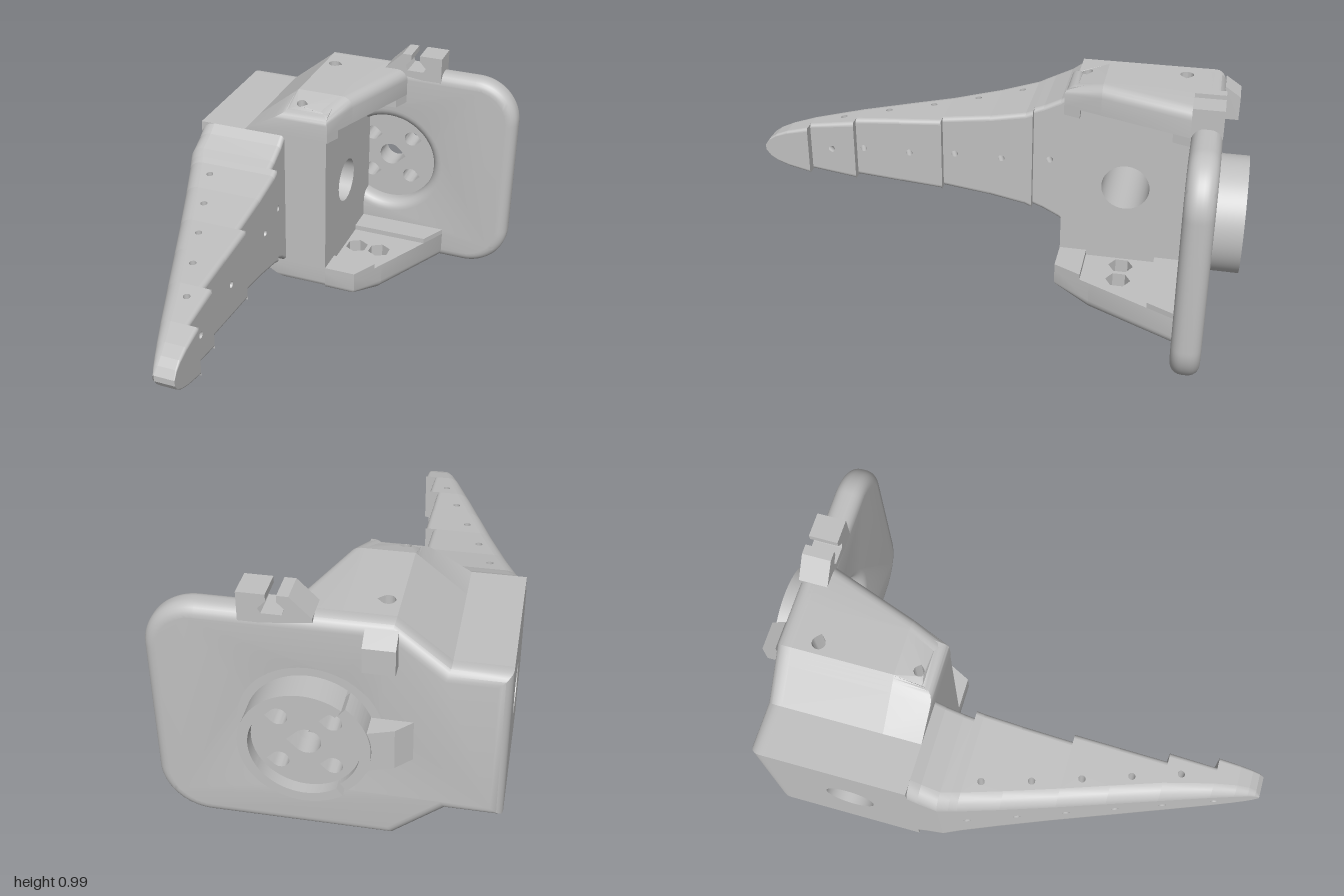
import * as THREE from 'three';
import { mergeGeometries, toCreasedNormals } from 'three/addons/utils/BufferGeometryUtils.js';
import { ConvexGeometry } from 'three/addons/geometries/ConvexGeometry.js';

const grey = new THREE.MeshStandardMaterial({ color: 0xc0c0c0, side: THREE.DoubleSide });
grey.name = 'printedGrey';

const YC = 0.46, BACK = -0.84, MID = -0.43, FRONT = -0.28, WALL = -0.055;
const lerp = THREE.MathUtils.lerp;
const shapeOf = (pts, holes = []) => {
  const s = new THREE.Shape(pts.map(p => new THREE.Vector2(...p)));
  s.holes = holes;
  return s;
};
const ringPts = (x, y, r, n, phase = 0) => Array.from({ length: n }, (_, i) => {
  const a = phase + i / n * Math.PI * 2;
  return new THREE.Vector2(x + r * Math.cos(a), y + r * Math.sin(a));
});
const circle = (x, y, r, n = 32) => new THREE.Path(ringPts(x, y, r, n));
// round hole with a pointed +x side
const teardrop = (x, y, r) => {
  const p = new THREE.Path().moveTo(x + r * 1.41, y);
  p.absarc(x, y, r, Math.PI / 4, Math.PI * 1.75, false);
  return p.lineTo(x + r * 1.41, y);
};
const extrude = (shape, depth, opts = {}) =>
  new THREE.ExtrudeGeometry(shape, { depth, bevelEnabled: false, curveSegments: 12, ...opts });
const hull = pts => new ConvexGeometry(pts.map(p => new THREE.Vector3(...p)));

function moveVertices(g, rule) {
  const p = g.attributes.position;
  for (let i = 0; i < p.count; i++) p.setXYZ(i, ...rule(p.getX(i), p.getY(i), p.getZ(i)));
  g.computeVertexNormals();
  return g;
}

// One slab of the upper or lower jaw: drawn in plan, grown outwards, with chamfer and fillet
function jawSlab(top, poly, holes, v0, endX) {
  const R = 0.045, STEPS = 6;
  const g = extrude(shapeOf(poly, holes), STEPS, { steps: STEPS });
  moveVertices(g, (x, z, t) => {
    const k = Math.round(t), a = Math.max(0, k - 1) / (STEPS - 1) * Math.PI / 2;
    let v = k === 0 ? v0 : 0.15 - R + R * Math.sin(a);
    const inset = k === 0 ? 0 : R * (1 - Math.cos(a));
    const f = Math.max(0, (z - MID) / (FRONT - MID));
    let nx = x, nz = z;
    if (Math.abs(x + 0.42) < 1e-3) nx += 0.185 * v / 0.15;
    if (endX && x > endX(z) - 1e-3) nx -= inset;
    if (Math.abs(z - FRONT) < 1e-3) nz -= inset;
    v = v0 + (v - v0) * (1 - 0.28 * f);
    return [nx, top ? 0.765 + v : 0.155 - v, nz];
  });
  return toCreasedNormals(g, 0.5);
}

// Jaw: chamfered cap on the block, a slanted arm and two rims beside its groove
function jaw(add, top) {
  const name = top ? 'upperJaw' : 'lowerJaw';
  const [xf, xb, groove, gf, gb, hx] = top
    ? [-0.05, 0.13, 0.035, -0.345, -0.71, -0.19] : [0.08, 0.33, 0.023, -0.39, -0.67, -0.11];
  const endX = z => z < -0.78 ? xb : lerp(xf, xb, (FRONT - z) / 0.5);
  const plan = (l, z0, z1) => [[l, z0], [endX(z0), z0],
    ...(z0 < -0.78 ? [[xb, -0.78]] : []), [endX(z1), z1], [l, z1]];
  const box = (z0, z1) => [[-0.42, z0], [WALL, z0], [WALL, z1], [-0.42, z1]];
  const armHoles = top ? [] : [
    ...[0.105, 0.0].map(x => new THREE.Path(ringPts(x, -0.54, 0.05, 6, Math.PI / 6))),
    circle(0.04, -0.72, 0.018, 16)];
  add(name + 'Cap', jawSlab(top, box(BACK, MID), [teardrop(hx, -0.735, 0.026)], 0));
  add(name + 'CapFront', jawSlab(top, box(MID, FRONT), [teardrop(hx, -0.35, 0.02)], 0));
  add(name + 'Arm', jawSlab(top, plan(WALL, BACK, MID), armHoles, groove, endX));
  add(name + 'ArmFront', jawSlab(top, plan(WALL, MID, FRONT), [], groove, endX));
  for (const [z0, z1] of [[gf, FRONT], [-0.78, gb]]) {
    const rim = extrude(shapeOf(plan(WALL, z0, z1)), groove);
    add(name + 'Rim', moveVertices(rim, (x, z, t) => [x, top ? 0.765 + t : 0.155 - t, z]));
  }
}

// Tapering stepped horn, lofted along z, with drilled holes
function hornGeometry() {
  const Z = [-0.28, -0.24, -0.17, -0.13, -0.1, 0.05, 0.25, 0.43, 0.62, 0.81, 0.9, 0.95, 0.98, 1];
  const H = [0.305, 0.275, 0.24, 0.225, 0.213, 0.185, 0.16, 0.147, 0.132, 0.105, 0.083, 0.063, 0.042, 0.012];
  const outer = z => z < -0.17 ? -0.62 : -0.62 + 0.42 * (z + 0.17) / 1.14;
  const inner = z => z < -0.13 ? -0.24 : z < 0.25 ? -0.21 : z < 0.62 ? -0.18 : z < 0.81 ? -0.145 : -0.105;
  const vertical = [[-0.04, -0.47], [0.14, -0.41], [0.32, -0.345], [0.5, -0.28], [0.68, -0.215]];
  const across = [[-0.2, -0.07], [0, 0.11], [0.2, 0.29], [0.39, 0.47], [0.59, 0.645], [0.72, 0.835]];
  const parts = [], R = 0.014;
  const heightAt = z => {
    const i = Math.max(0, Math.min(Z.length - 2, Z.findIndex(q => q > z) - 1));
    return lerp(H[i], H[i + 1], (z - Z[i]) / (Z[i + 1] - Z[i]));
  };
  const strip = (a, b) => {
    const pos = [...a, ...b].flat(), idx = [], n = a.length;
    for (let i = 0; i < n - 1; i++) idx.push(i, i + 1, n + i, i + 1, n + i + 1, n + i);
    const g = new THREE.BufferGeometry();
    g.setAttribute('position', new THREE.Float32BufferAttribute(pos, 3));
    g.setIndex(idx);
    g.computeVertexNormals();
    parts.push(g);
  };
  const patch = (pts, holes, map) =>
    parts.push(moveVertices(new THREE.ShapeGeometry(shapeOf(pts, holes)), map));
  const drill = (list, z0, z1, c) =>
    list.filter(h => h[0] > z0 && h[0] < z1).map(h => circle(h[0], c ?? h[1], R, 14));

  for (let i = 0; i < Z.length - 1; i++) {
    const z0 = Z[i], z1 = Z[i + 1], h0 = H[i], h1 = H[i + 1], xi = inner(z0 + 1e-4);
    const o0 = outer(z0), o1 = outer(z1);
    const r0 = Math.min(0.06, h0 * 0.45), r1 = Math.min(0.06, h1 * 0.45), q = 0.3;
    const hAt = z => lerp(h0, h1, (z - z0) / (z1 - z0));
    for (const s of [1, -1]) {
      patch([[z0, o0 + r0], [z1, o1 + r1], [z1, xi - q * r1], [z0, xi - q * r0]],
        drill(vertical, z0, z1), (z, x) => [x, YC + s * hAt(z), z]);
      // rounded long edges
      const arc = (z, x, h, r, d) => Array.from({ length: 7 }, (_, k) => {
        const a = k / 6 * Math.PI / 2;
        return [x + d * r * (1 - Math.cos(a)), YC + s * (h - r + r * Math.sin(a)), z];
      });
      strip(arc(z0, o0, h0, r0, 1), arc(z1, o1, h1, r1, 1));
      strip(arc(z0, xi, h0, q * r0, -1), arc(z1, xi, h1, q * r1, -1));
    }
    const side = (m, holes, xAt) => patch(
      [[z0, -h0 + m * r0], [z1, -h1 + m * r1], [z1, h1 - m * r1], [z0, h0 - m * r0]],
      holes, (z, y) => [xAt(z), YC + y, z]);
    side(1, drill(across.map(a => [a[1]]), z0, z1, 0), outer);
    side(q, drill(across, z0, z1, 0), () => xi);
    // step face
    if (i && inner(z0 - 1e-3) !== xi)
      patch([[o0 + r0, -h0], [xi, -h0], [xi, h0], [o0 + r0, h0]], [], (x, y) => [x, YC + y, z0]);
  }
  patch([[-0.185, -0.012], [-0.105, -0.012], [-0.105, 0.012], [-0.185, 0.012]], [], (x, y) => [x, YC + y, 1]);

  // bores
  const loop = (z, c, map) => {
    const pts = ringPts(z, c, R, 14);
    return [...pts, pts[0]].map(p => map(p.x, p.y));
  };
  for (const [z, x] of vertical)
    strip(...[1, -1].map(s => loop(z, x, (a, b) => [b, YC + s * heightAt(a), a])));
  for (const [zi, zo] of across)
    strip(loop(zi, 0, (a, b) => [inner(a), YC + b, a]), loop(zo, 0, (a, b) => [outer(a), YC + b, a]));

  return mergeGeometries(parts.map(g => {
    const n = g.index ? g.toNonIndexed() : g;
    n.deleteAttribute('uv');
    return n;
  }));
}

export function createModel() {
  const model = new THREE.Group();
  model.name = 'hornBracket';
  const add = (name, geometry) => {
    const m = new THREE.Mesh(geometry, grey);
    m.name = name;
    model.add(m);
    return m;
  };

  // Back plate with rounded rim and dished opening
  const plate = new THREE.Shape()
    .moveTo(-0.62, 0.155).lineTo(-0.42, 0.155).lineTo(-0.235, 0.004).lineTo(0.43, 0.004)
    .absarc(0.43, 0.194, 0.19, -Math.PI / 2, 0, false)
    .absarc(0.43, 0.725, 0.19, 0, Math.PI / 2, false)
    .lineTo(-0.235, 0.915).lineTo(-0.42, 0.765).lineTo(-0.62, 0.765);
  plate.holes = [circle(0.05, YC, 0.212, 48)];
  const plateGeo = extrude(plate, 0.02, {
    bevelEnabled: true, bevelSize: 0.045, bevelThickness: 0.045, bevelOffset: -0.045, bevelSegments: 6 });
  plateGeo.translate(0, 0, -0.845);
  add('backPlate', toCreasedNormals(plateGeo, 0.6));

  // Dish floor and rear socket, pierced by five holes
  const pierced = r => shapeOf(ringPts(0.05, YC, r, 48).map(p => [p.x, p.y]), [
    teardrop(0.047, YC, 0.05),
    ...[[-1, -1], [-1, 1], [1, -1], [1, 1]].map(([a, b]) => teardrop(0.05 + a * 0.093, YC + b * 0.093, 0.033))]);
  const floor = (name, r, z0, z1) =>
    add(name, toCreasedNormals(extrude(pierced(r), z1 - z0).translate(0, 0, z0), 0.5));
  floor('dishFloor', 0.258, -0.89, -0.85);
  floor('socketFloor', 0.2, -0.955, -0.89);
  const rimArc = (name, a0, a1, depth) => {
    const s = new THREE.Shape();
    s.absarc(0.05, YC, 0.226, a0, a1, false);
    s.absarc(0.05, YC, 0.19, a1, a0, true);
    add(name, toCreasedNormals(extrude(s, depth, { curveSegments: 40 }).translate(0, 0, -0.89 - depth), 0.5));
  };
  rimArc('socketRim', -2.2, 2.2, 0.11);
  rimArc('socketLowRim', 2.25, Math.PI * 2 - 2.25, 0.09);

  // Ramped lug beside the socket and wedge near the upper edge
  const lug = [];
  for (const y of [0.38, 0.54])
    lug.push([-0.31, y, -0.885], [-0.25, y, -0.945], [-0.16, y, -0.975], [-0.14, y, -0.885]);
  add('socketLug', hull(lug));
  const wedge = [];
  for (const x of [-0.25, -0.14])
    wedge.push([x, 0.765, -0.885], [x, 0.765, -0.945], [x, 0.86, -0.945], [x, 0.9, -0.885]);
  add('rearWedge', hull(wedge));

  // Notched clip on the top edge
  add('topClip', extrude(shapeOf([[0.03, 0.9], [0.03, 0.915], [0.105, 0.99], [0.145, 0.99], [0.145, 0.965],
    [0.12, 0.94], [0.13, 0.917], [0.2, 0.917], [0.21, 0.935], [0.182, 0.965], [0.182, 0.99],
    [0.28, 0.99], [0.28, 0.88], [0.2, 0.88]]), 0.113).translate(0, 0, -0.89));

  // Side block with cross bore
  const block = extrude(shapeOf([[BACK, 0.155], [FRONT, 0.155], [FRONT, 0.765], [BACK, 0.765]],
    [circle(-0.535, 0.465, 0.096)]), 0.565);
  moveVertices(block, (z, y, t) => [-0.62 + t, y, z]);
  add('sideBlock', toCreasedNormals(block, 0.5));

  jaw(add, true);
  jaw(add, false);
  add('horn', hornGeometry());
  return model;
}
